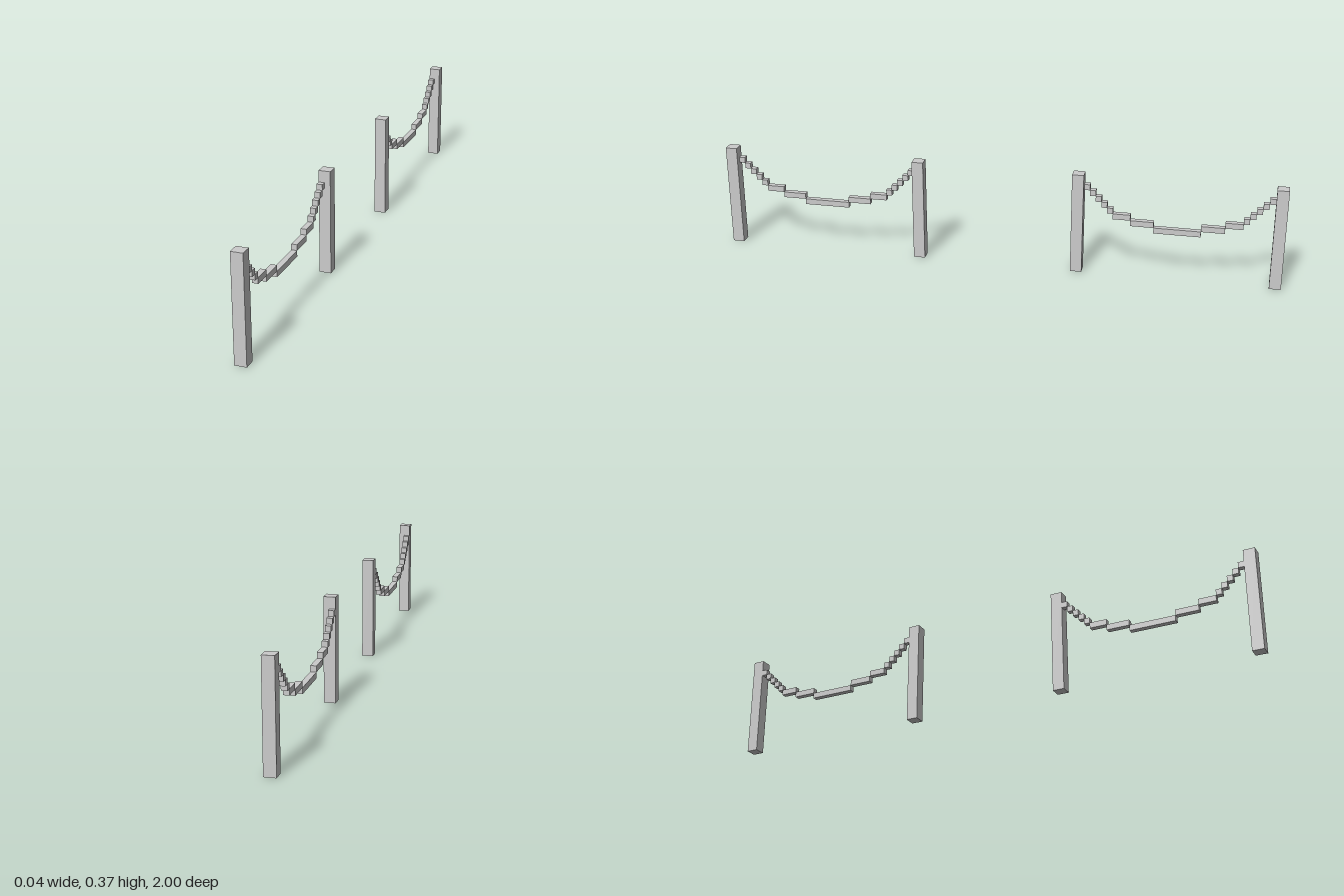
import * as THREE from 'three';

// Everything sits on a grid of small cubes, 98 of them along z
const U = 2 / 98;

export function createModel() {
  const group = new THREE.Group();
  group.name = 'ropeBarriers';
  const material = new THREE.MeshStandardMaterial({ color: 0xcccccc, flatShading: true });

  // Box from minimum corner and size, in grid cubes
  function box(parent, name, x, y, z, w, h, d) {
    const mesh = new THREE.Mesh(new THREE.BoxGeometry(w * U, h * U, d * U), material);
    mesh.position.set((x + w / 2) * U, (y + h / 2) * U, (z + d / 2) * U);
    mesh.name = name;
    parent.add(mesh);
  }

  // Lengths of the rope steps from a post down to the lowest, middle step
  const steps = [1, 1, 1, 1, 1, 3, 4];
  const topStep = 15;
  const halfSpan = 16;

  function barrier(name, centerZ) {
    const part = new THREE.Group();
    part.name = name;
    part.position.z = centerZ * U;
    for (const side of [-1, 1]) {
      // Post
      box(part, 'post', -1, 0, side > 0 ? halfSpan : -halfSpan - 2, 2, 18, 2);
      // Sagging rope, stepping down towards the middle
      let outer = halfSpan;
      steps.forEach((length, i) => {
        const start = side > 0 ? outer - length : -outer;
        box(part, 'ropeStep', -1, topStep - i, start, 1, 1, length);
        outer -= length;
      });
    }
    // Lowest part of the rope
    box(part, 'ropeMiddle', -1, topStep - steps.length, -4, 1, 1, 8);
    group.add(part);
  }

  barrier('frontBarrier', 31);
  barrier('backBarrier', -31);
  return group;
}
